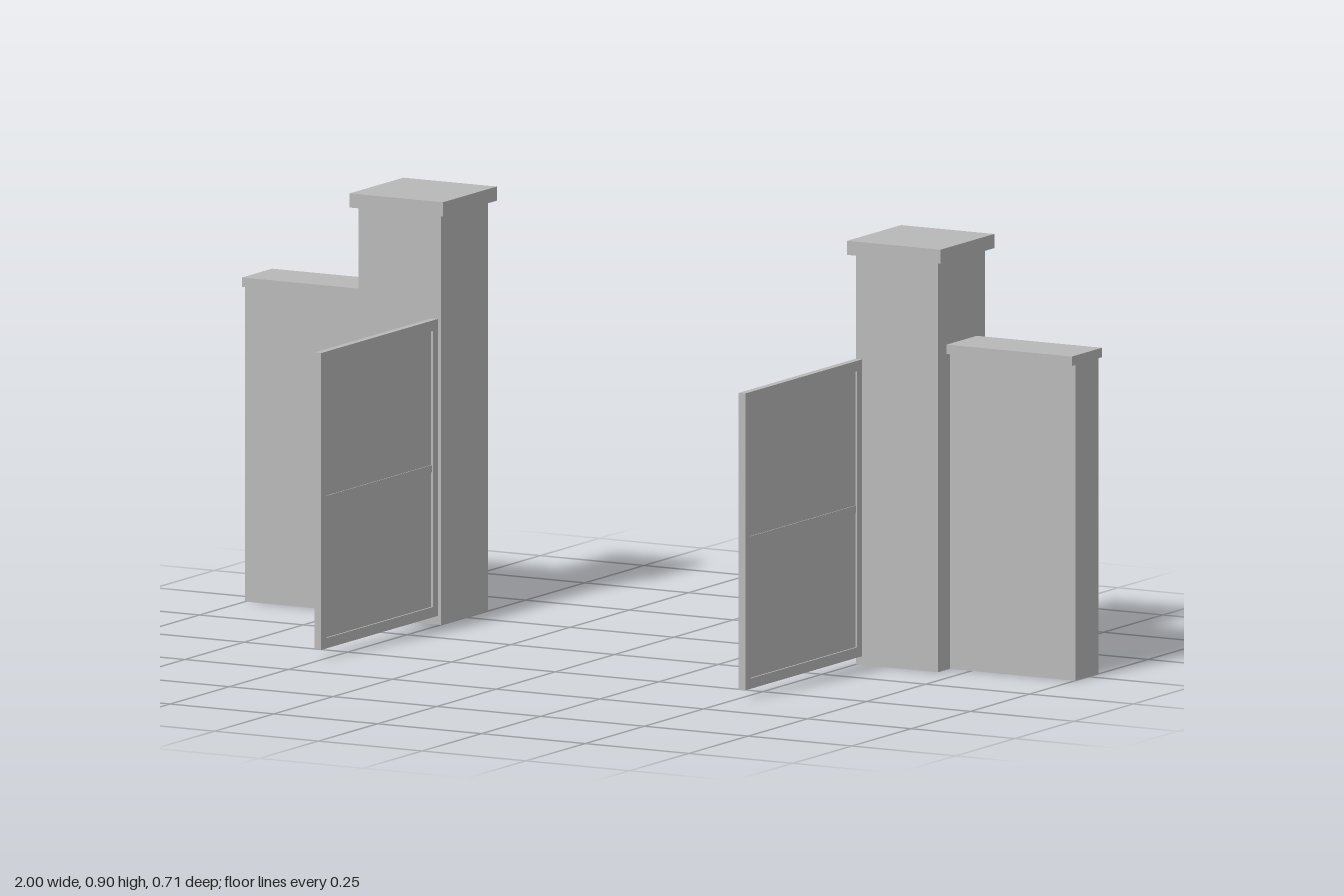
import * as THREE from 'three';

const stone = new THREE.MeshStandardMaterial({ color: 0xb8b8b8 });
stone.name = 'grey';

// Box given by its minimum and maximum corners
function box(parent, name, min, max) {
  const size = max.map((v, i) => v - min[i]);
  const mesh = new THREE.Mesh(new THREE.BoxGeometry(...size), stone);
  mesh.position.set(...min.map((v, i) => (v + max[i]) / 2));
  mesh.name = name;
  parent.add(mesh);
}

// Open gate leaf: a thin panel inside a raised frame with a middle rail
function gateLeaf() {
  const leaf = new THREE.Group();
  leaf.name = 'gateLeaf';
  const x0 = 0.503, x1 = 0.519, y0 = 0.02, y1 = 0.65, z0 = -0.136, z1 = 0.357, w = 0.022;
  box(leaf, 'panel', [0.507, y0 + w, z0 + w], [0.515, y1 - w, z1 - w]);
  for (const z of [z0, z1 - w]) box(leaf, 'stile', [x0, y0, z], [x1, y1, z + w]);
  for (const y of [y0, y1 - w]) box(leaf, 'rail', [x0, y, z0 + w], [x1, y + w, z1 - w]);
  box(leaf, 'middleRail', [0.505, 0.328, z0 + w], [0.517, 0.343, z1 - w]);
  return leaf;
}

// One side of the gateway, built on +x
function gateSide(name) {
  const side = new THREE.Group();
  side.name = name;
  box(side, 'pillar', [0.5, 0, -0.341], [0.698, 0.87, -0.143]);
  box(side, 'pillarCap', [0.487, 0.87, -0.356], [0.712, 0.9, -0.129]);
  box(side, 'wall', [0.698, 0, -0.291], [1, 0.67, -0.193]);
  box(side, 'wallCap', [0.698, 0.67, -0.306], [1, 0.69, -0.179]);
  side.add(gateLeaf());
  return side;
}

export function createModel() {
  const model = new THREE.Group();
  model.name = 'gateway';
  const left = gateSide('leftSide');
  // Every part is a box, so mirroring only needs the x positions negated
  const right = gateSide('rightSide');
  right.traverse((part) => { part.position.x *= -1; });
  model.add(left, right);
  return model;
}
